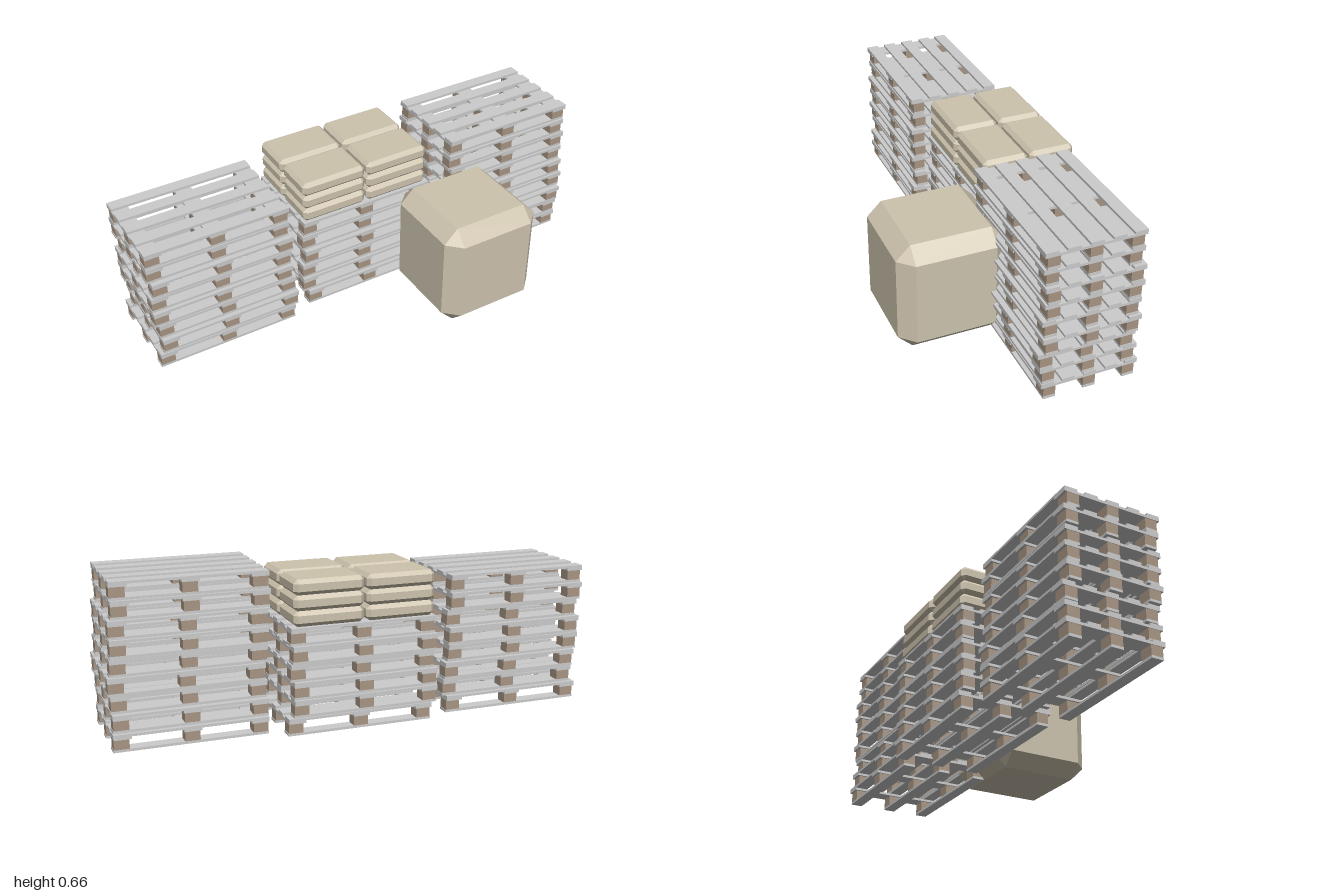
import * as THREE from 'three';
import { ConvexGeometry } from 'three/addons/geometries/ConvexGeometry.js';

const W = 0.61, D = 0.403, PITCH = 0.0728;

const boardMat = new THREE.MeshStandardMaterial({ color: 0xcccccc });
const blockMat = new THREE.MeshStandardMaterial({ color: 0xa79583 });
const clothMat = new THREE.MeshStandardMaterial({ color: 0xcdc3ae });

function add(parent, name, geometry, material, x, y, z) {
  const mesh = new THREE.Mesh(geometry, material);
  mesh.name = name;
  mesh.position.set(x, y, z);
  parent.add(mesh);
  return mesh;
}

// Box with every edge cut at 45 degrees
function chamferBox(w, h, d, c) {
  const points = [];
  for (const sx of [-1, 1]) for (const sy of [-1, 1]) for (const sz of [-1, 1]) {
    for (let face = 0; face < 3; face++) {
      const cut = [c, c, c];
      cut[face] = 0;
      points.push(new THREE.Vector3(
        sx * (w / 2 - cut[0]), sy * (h / 2 - cut[1]), sz * (d / 2 - cut[2])));
    }
  }
  return new ConvexGeometry(points);
}

const runnerGeo = new THREE.BoxGeometry(W, 0.0104, 0.05);
const blockGeo = new THREE.BoxGeometry(0.06, 0.0416, 0.05);
const stringerGeo = new THREE.BoxGeometry(0.07, 0.0104, D);
const deckGeo = new THREE.BoxGeometry(W, 0.0104, 0.053);

function createPallet() {
  const pallet = new THREE.Group();
  pallet.name = 'pallet';
  for (const z of [-0.166, 0, 0.166]) {
    add(pallet, 'bottomBoard', runnerGeo, boardMat, 0, 0.0052, z);
    for (const x of [-0.273, 0, 0.273]) add(pallet, 'spacerBlock', blockGeo, blockMat, x, 0.0312, z);
  }
  for (const x of [-0.27, 0, 0.27]) add(pallet, 'crossBoard', stringerGeo, boardMat, x, 0.0572, 0);
  for (const z of [-0.175, -0.09, 0, 0.09, 0.175]) add(pallet, 'deckBoard', deckGeo, boardMat, 0, 0.0676, z);
  return pallet;
}

// Each stack lists the x and z centre of its pallets from the ground up
const stacks = {
  rightStack: {
    x: [-0.687, -0.671, -0.675, -0.692, -0.692, -0.682, -0.695, -0.695],
    z: [-0.178, -0.172, -0.182, -0.175, -0.18, -0.172, -0.184, -0.178],
  },
  middleStack: {
    x: [0.015, -0.008, -0.008, 0.005, -0.002, 0.005],
    z: [-0.22, -0.225, -0.225, -0.22, -0.23, -0.225],
  },
  leftStack: {
    x: [0.685, 0.682, 0.685, 0.695, 0.685, 0.682, 0.685, 0.671, 0.675],
    z: [-0.157, -0.15, -0.137, -0.15, -0.148, -0.157, -0.155, -0.15, -0.15],
  },
};

export function createModel() {
  const model = new THREE.Group();
  model.name = 'palletStacks';

  for (const [name, { x, z }] of Object.entries(stacks)) {
    const stack = new THREE.Group();
    stack.name = name;
    x.forEach((px, i) => {
      const pallet = createPallet();
      pallet.position.set(px, i * PITCH, z[i]);
      stack.add(pallet);
    });
    model.add(stack);
  }

  // Three layers of four sacks on the middle stack
  const sacks = new THREE.Group();
  sacks.name = 'sacks';
  const sackGeo = chamferBox(0.29, 0.0617, 0.194, 0.016);
  for (let layer = 0; layer < 3; layer++)
    for (const x of [-0.15, 0.15])
      for (const z of [-0.122, -0.325])
        add(sacks, 'sack', sackGeo, clothMat, x, 6 * PITCH + 0.0309 + layer * 0.0617, z);
  model.add(sacks);

  // Large bulk bag standing in front
  add(model, 'bulkBag', chamferBox(0.451, 0.48, 0.451, 0.06), clothMat, 0.353, 0.24, 0.207);
  return model;
}
